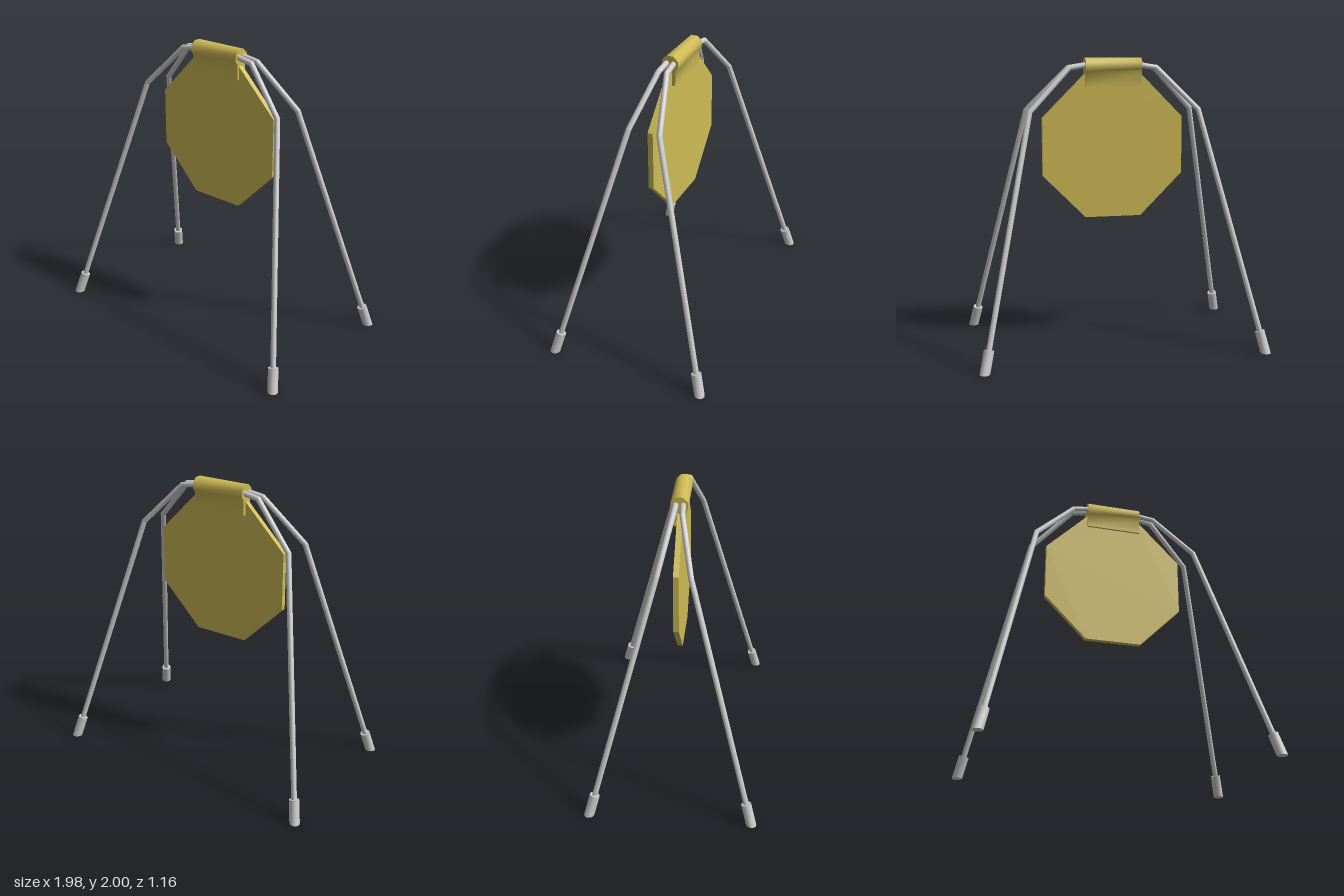
import * as THREE from 'three';
import { toCreasedNormals } from 'three/addons/utils/BufferGeometryUtils.js';

const SIDES = 12;
const CREASE = 0.56;
const yellow = new THREE.MeshStandardMaterial({ color: 0xcfbb55 });
const grey = new THREE.MeshStandardMaterial({ color: 0xcccccc });

// Each pipe frame lies in one plane that leans outwards towards the ground.
const lean = 0.267;
const onPlane = (x, y) => new THREE.Vector3(x, y, 0.024 + (1.95 - y) * lean);

function addMesh(parent, name, geometry, material) {
  const mesh = new THREE.Mesh(geometry, material);
  mesh.name = name;
  parent.add(mesh);
}

// Round pipe along a planar path, with mitred bends and closed ends.
function bentPipe(points, planeNormal, radius) {
  const positions = [], index = [];
  points.forEach((p, i) => {
    const before = p.clone().sub(points[Math.max(i - 1, 0)]).normalize();
    const after = points[Math.min(i + 1, points.length - 1)].clone().sub(p).normalize();
    const tangent = before.clone().add(after).normalize();
    const isEnd = i === 0 || i === points.length - 1;
    const stretch = isEnd ? 1 : 1 / tangent.dot(after);
    const across = planeNormal.clone().cross(tangent).multiplyScalar(stretch);
    for (let s = 0; s < SIDES; s++) {
      const a = (s / SIDES) * Math.PI * 2;
      const v = p.clone()
        .addScaledVector(across, Math.cos(a) * radius)
        .addScaledVector(planeNormal, Math.sin(a) * radius);
      positions.push(v.x, v.y, v.z);
    }
  });
  const last = (points.length - 1) * SIDES;
  // Rings run anticlockwise about the path direction.
  for (let i = 0; i < points.length - 1; i++) {
    for (let s = 0; s < SIDES; s++) {
      const a = i * SIDES + s, b = i * SIDES + (s + 1) % SIDES;
      index.push(a, b, a + SIDES, b, b + SIDES, a + SIDES);
    }
  }
  for (let s = 1; s < SIDES - 1; s++) {
    index.push(0, s + 1, s, last, last + s, last + s + 1);
  }
  const geometry = new THREE.BufferGeometry();
  geometry.setAttribute('position', new THREE.Float32BufferAttribute(positions, 3));
  geometry.setIndex(index);
  return toCreasedNormals(geometry, CREASE);
}

// Sleeve along the leg, its lower end cut level with the ground.
function footSleeve(base, axis, radius, height) {
  const length = height / axis.y;
  const geometry = new THREE.CylinderGeometry(radius, radius, length, SIDES);
  const pos = geometry.attributes.position;
  const turn = new THREE.Quaternion().setFromUnitVectors(new THREE.Vector3(0, 1, 0), axis);
  const v = new THREE.Vector3();
  for (let i = 0; i < pos.count; i++) {
    v.fromBufferAttribute(pos, i);
    const isBottom = v.y < 0;
    v.y += length / 2;
    v.applyQuaternion(turn).add(base);
    if (isBottom) v.addScaledVector(axis, -v.y / axis.y);
    pos.setXYZ(i, v.x, v.y, v.z);
  }
  return toCreasedNormals(geometry, CREASE);
}

function createFrame() {
  const frame = new THREE.Group();
  const half = [[0.19, 1.95], [0.305, 1.932], [0.588, 1.643], [0.946, 0.05]];
  const path = [
    ...half.map(([x, y]) => onPlane(-x, y)).reverse(),
    ...half.map(([x, y]) => onPlane(x, y)),
  ];
  const normal = new THREE.Vector3(0, lean, 1).normalize();
  addMesh(frame, 'bentPipe', bentPipe(path, normal, 0.0185), grey);
  for (const side of [-1, 1]) {
    const base = onPlane(0.957 * side, 0);
    const axis = onPlane(0.588 * side, 1.643).sub(base).normalize();
    addMesh(frame, side > 0 ? 'leftFoot' : 'rightFoot', footSleeve(base, axis, 0.034, 0.148), grey);
  }
  return frame;
}

export function createModel() {
  const model = new THREE.Group();
  model.name = 'hangingTargetStand';

  // Two pipe frames, the back one turned half a circle
  for (const back of [false, true]) {
    const frame = createFrame();
    frame.name = back ? 'backFrame' : 'frontFrame';
    if (back) frame.rotation.y = Math.PI;
    model.add(frame);
  }

  // Octagonal plate
  const plateShape = new THREE.Shape([
    [-0.2, 0.897], [0.195, 0.897], [0.492, 1.195], [0.492, 1.592],
    [0.195, 1.89], [-0.2, 1.89], [-0.497, 1.592], [-0.497, 1.195],
  ].map(([x, y]) => new THREE.Vector2(x, y)));
  const plate = new THREE.ExtrudeGeometry(plateShape, { depth: 0.036, bevelEnabled: false });
  plate.translate(0, 0, -0.014);
  addMesh(model, 'plate', plate, yellow);

  // Hanger: an eight-sided sleeve round both pipes, its skirt hanging over the plate
  const profile = [[0.036, 1.8], [0.038, 1.905], [0.055, 1.925], [0.055, 1.969], [0.023, 2]];
  const outline = [...profile, ...profile.map(([x, y]) => [-x, y]).reverse()];
  const hangerShape = new THREE.Shape(outline.map(([x, y]) => new THREE.Vector2(x, y)));
  const hanger = new THREE.ExtrudeGeometry(hangerShape, { depth: 0.394, bevelEnabled: false });
  hanger.rotateY(Math.PI / 2).translate(-0.199, 0, 0);
  addMesh(model, 'hanger', toCreasedNormals(hanger, 0.85), yellow);

  return model;
}
